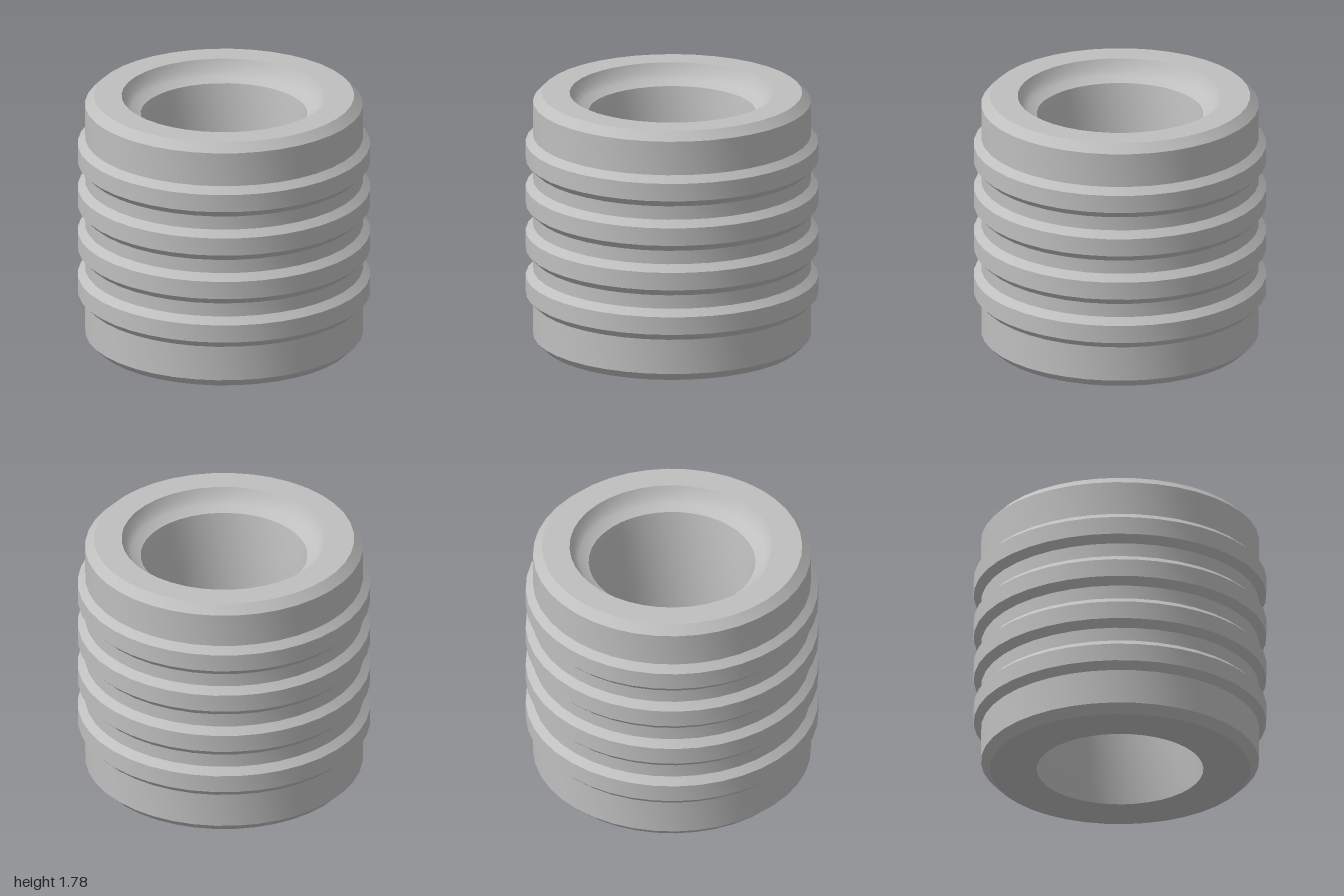
import * as THREE from 'three';
import { toCreasedNormals } from 'three/addons/utils/BufferGeometryUtils.js';

export function createModel() {
  const group = new THREE.Group();
  group.name = 'ribbedSleeve';
  const grey = new THREE.MeshStandardMaterial({ color: 0xbfbfbf });
  grey.name = 'plain grey';

  const height = 1.78, wall = 0.95, rib = 1, chamfer = 0.06;
  const profile = [];
  const add = (r, y) => profile.push(new THREE.Vector2(r, y));

  // Outer wall with chamfered ends and four raised ribs
  add(wall - chamfer, 0);
  add(wall, chamfer);
  for (let i = 0; i < 4; i++) {
    const y = 0.305 + i * 0.318;
    add(wall, y);
    add(rib, y + 0.05);
    add(rib, y + 0.175);
    add(wall, y + 0.222);
  }
  add(wall, height - chamfer);
  add(wall - chamfer, height);

  // Rounded seat sunk into the top face
  const seatY = 1.65;
  add(0.7, height);
  add(0.675, 1.72);
  add(0.635, 1.68);

  // Bore narrowing gently to a waist at mid height
  const steps = 12;
  for (let i = 0; i <= steps; i++) {
    const t = 1 - (2 * i) / steps;
    add(0.51 + 0.06 * t * t, seatY * (1 - i / steps));
  }

  // Bottom ring closes the section
  add(wall - chamfer, 0);

  const geometry = toCreasedNormals(new THREE.LatheGeometry(profile, 40), 0.5);
  const body = new THREE.Mesh(geometry, grey);
  body.name = 'sleeveBody';
  group.add(body);
  return group;
}
